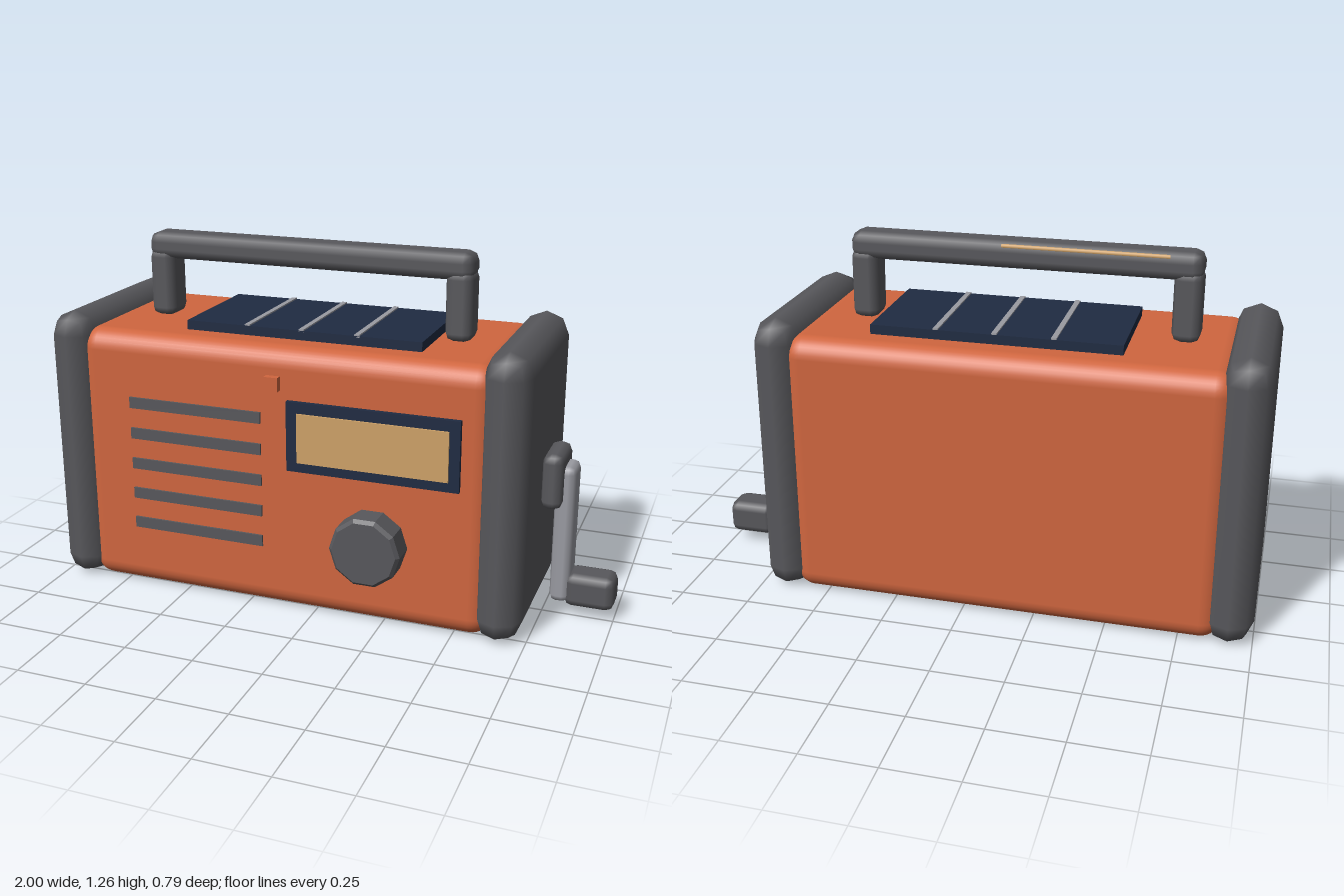
import * as THREE from 'three';
import { RoundedBoxGeometry } from 'three/addons/geometries/RoundedBoxGeometry.js';

const paint = (name, color) => {
  const m = new THREE.MeshStandardMaterial({ color });
  m.name = name;
  return m;
};

export function createModel() {
  const orange = paint('orange', 0xd0663f);
  const darkGray = paint('darkGray', 0x58585c);
  const lightGray = paint('lightGray', 0x9a9ba2);
  const navy = paint('navy', 0x1f2b42);
  const tan = paint('tan', 0xcfa268);

  const radio = new THREE.Group();
  radio.name = 'crankRadio';

  // Box given by its extents on each axis; a radius rounds its edges
  function box(name, mat, [x0, x1], [y0, y1], [z0, z1], radius = 0, segments = 1) {
    const size = [x1 - x0, y1 - y0, z1 - z0];
    const geo = radius
      ? new RoundedBoxGeometry(...size, segments, radius)
      : new THREE.BoxGeometry(...size);
    const mesh = new THREE.Mesh(geo, mat);
    mesh.name = name;
    mesh.position.set((x0 + x1) / 2, (y0 + y1) / 2, (z0 + z1) / 2);
    radio.add(mesh);
    return mesh;
  }

  // Case and end bumpers
  box('body', orange, [-0.89, 0.625], [0.005, 0.957], [-0.375, 0.303], 0.07, 4);
  box('rightBumper', darkGray, [-1, -0.836], [0.003, 1.01], [-0.395, 0.335], 0.081);
  box('leftBumper', darkGray, [0.571, 0.735], [0.003, 1.01], [-0.395, 0.335], 0.081);

  // Carrying handle
  const handleZ = [-0.095, 0.03];
  box('handleBar', darkGray, [-0.74, 0.465], [1.165, 1.26], handleZ, 0.035);
  for (const x of [-0.74, 0.37]) {
    box('handlePost', darkGray, [x, x + 0.095], [0.955, 1.2], handleZ, 0.03);
  }

  // Stowed aerial, sunk into the back edge of the handle
  const aerial = new THREE.Mesh(new THREE.CylinderGeometry(0.008, 0.008, 0.56, 8), tan);
  aerial.name = 'aerial';
  aerial.rotation.z = Math.PI / 2;
  aerial.position.set(-0.35, 1.244, -0.082);
  radio.add(aerial);

  // Solar panel and cell dividers
  box('solarPanel', navy, [-0.515, 0.342], [0.95, 0.99], [-0.25, 0.177]);
  for (const x of [-0.286, -0.086, 0.114]) {
    box('cellDivider', lightGray, [x - 0.009, x + 0.009], [0.985, 0.995], [-0.25, 0.177]);
  }

  // Speaker slots
  for (let i = 0; i < 5; i++) {
    const y = 0.708 - i * 0.1135;
    box('speakerSlot', darkGray, [-0.687, -0.187], [y - 0.02, y + 0.02], [0.295, 0.311]);
  }

  // Tuning window and indicator
  box('dialFrame', navy, [-0.087, 0.518], [0.535, 0.782], [0.295, 0.32]);
  box('dialWindow', tan, [-0.047, 0.482], [0.57, 0.744], [0.318, 0.327]);
  box('indicator', orange, [-0.163, -0.113], [0.813, 0.862], [0.295, 0.327]);

  // Ten-sided tuning knob with a bevelled front edge
  const knobProfile = [[0.125, 0], [0.125, 0.085], [0.113, 0.097], [0, 0.097]]
    .map(([r, h]) => new THREE.Vector2(r, h));
  const knobGeo = new THREE.LatheGeometry(knobProfile, 10, Math.PI / 2).toNonIndexed();
  knobGeo.computeVertexNormals();
  const knob = new THREE.Mesh(knobGeo, darkGray);
  knob.name = 'tuningKnob';
  knob.rotation.x = Math.PI / 2;
  knob.position.set(0.217, 0.305, 0.301);
  radio.add(knob);

  // Winding crank
  box('crankHub', darkGray, [0.733, 0.807], [0.408, 0.607], [-0.13, 0.067], 0.03);
  box('crankArm', lightGray, [0.775, 0.845], [0.055, 0.557], handleZ, 0.025);
  box('crankGrip', darkGray, [0.825, 1], [0.043, 0.165], handleZ, 0.03);

  return radio;
}
